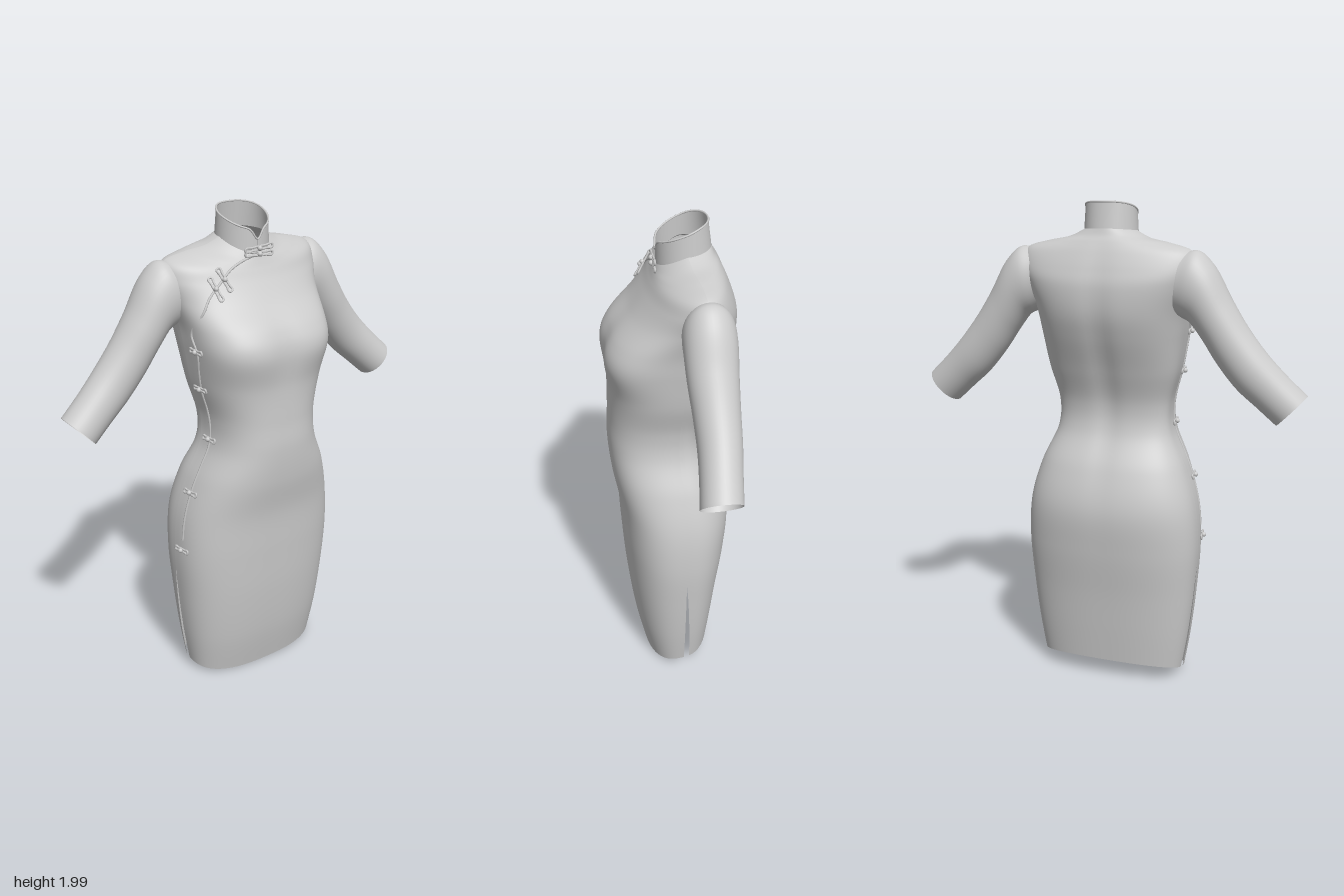
import * as THREE from 'three';

const cloth = new THREE.MeshStandardMaterial({ color: 0xcccccc, side: THREE.DoubleSide });

// Body sections: side y, front y, back y, half width, seam z, front z, back z
const RINGS = [
  [0.05, 0.01, 0.09, 0.312, -0.035, 0.115, -0.17],
  [0.21, 0.19, 0.23, 0.337, -0.035, 0.153, -0.187],
  [0.4, 0.4, 0.4, 0.357, -0.035, 0.18, -0.207],
  [0.6, 0.6, 0.6, 0.369, -0.035, 0.195, -0.235],
  [0.78, 0.78, 0.78, 0.355, -0.035, 0.207, -0.246],
  [0.94, 0.94, 0.94, 0.308, -0.03, 0.235, -0.205],
  [1.08, 1.08, 1.08, 0.245, -0.02, 0.246, -0.137],
  [1.2, 1.2, 1.2, 0.238, -0.02, 0.241, -0.128],
  [1.34, 1.34, 1.34, 0.272, -0.03, 0.241, -0.172],
  [1.48, 1.48, 1.48, 0.292, -0.04, 0.26, -0.225],
  [1.58, 1.57, 1.58, 0.305, -0.06, 0.228, -0.252],
  [1.68, 1.66, 1.68, 0.332, -0.09, 0.146, -0.255],
  [1.76, 1.73, 1.75, 0.355, -0.1, 0.094, -0.238],
  [1.82, 1.775, 1.81, 0.337, -0.1, 0.068, -0.215],
  [1.847, 1.8, 1.85, 0.25, -0.09, 0.056, -0.195],
  [1.863, 1.817, 1.875, 0.165, -0.075, 0.049, -0.18],
  [1.89, 1.835, 1.9, 0.107, -0.065, 0.043, -0.17],
];
const LAST = RINGS.length - 1;
const bell = (d, w) => Math.exp(-((d / w) ** 2));

function ringAt(v) {
  const i = Math.min(LAST - 1, Math.floor(v)), t = v - i;
  const [p, q, r, s] = [i - 1, i, i + 1, i + 2].map(k => RINGS[Math.max(0, Math.min(LAST, k))]);
  return q.map((b, k) => b + 0.5 * t * (r[k] - p[k]
    + t * (2 * p[k] - 5 * b + 4 * r[k] - s[k] + t * (3 * (b - r[k]) + s[k] - p[k]))));
}

// Point on the body; a runs 0 (left seam), PI/2 (front), PI (right seam), 3PI/2 (back)
function bodyPoint(v, a) {
  const [ys, yf, yb, hw, z0, zf, zb] = ringAt(v);
  const c = Math.cos(a), s = Math.sin(a), front = s > 0;
  // Sections are squarest at the bust and round off towards the neck
  const squareness = front
    ? 2.6 - 0.6 * THREE.MathUtils.smoothstep(ys, 1.55, 1.8) + 0.5 * bell(ys - 1.49, 0.1)
    : 2.45 - 0.45 * THREE.MathUtils.smoothstep(ys, 1.7, 1.85);
  const e = 2 / squareness, f = Math.abs(s) ** e;
  const x = hw * Math.sign(c) * Math.abs(c) ** e;
  const y = ys + ((front ? yf : yb) - ys) * f ** 1.2;
  const dip = front ? -0.013 * bell(x, 0.07) * bell(y - 1.5, 0.12)
    : 0.014 * bell(x, 0.05) * bell(y - 1.35, 0.4);
  return new THREE.Vector3(x, y, z0 + ((front ? zf : zb) - z0) * f + dip);
}

function named(name, geometry) {
  const m = new THREE.Mesh(geometry, cloth);
  m.name = name;
  return m;
}

// Smooth surface from a function of u (rightwards) and v (upwards)
function surface(name, fn, nu, nv, closed = false) {
  const pos = [], idx = [];
  for (let j = 0; j <= nv; j++) for (let i = 0; i <= nu; i++) pos.push(...fn(i / nu, j / nv).toArray());
  for (let j = 0; j < nv; j++) for (let i = 0; i < nu; i++) {
    const a = j * (nu + 1) + i, d = a + nu + 1;
    idx.push(a, a + 1, d, a + 1, d + 1, d);
  }
  const g = new THREE.BufferGeometry();
  g.setAttribute('position', new THREE.Float32BufferAttribute(pos, 3));
  g.setIndex(idx);
  g.computeVertexNormals();
  if (closed) {
    const n = g.attributes.normal, p = new THREE.Vector3(), q = new THREE.Vector3();
    for (let j = 0; j <= nv; j++) {
      const a = j * (nu + 1), b = a + nu;
      p.fromBufferAttribute(n, a).add(q.fromBufferAttribute(n, b)).normalize();
      n.setXYZ(a, p.x, p.y, p.z);
      n.setXYZ(b, p.x, p.y, p.z);
    }
  }
  return named(name, g);
}

function tube(name, pts, r, closed, segs) {
  return named(name, new THREE.TubeGeometry(new THREE.CatmullRomCurve3(pts, closed), segs, r, 6, closed));
}

// Body parameters of the front point at x, y
function locateFront(x, y) {
  let best = Infinity, hit;
  for (let v = 0; v <= LAST; v += 0.05) for (let k = 1; k < 120; k++) {
    const a = Math.PI * k / 120, p = bodyPoint(v, a), d = Math.hypot(p.x - x, p.y - y);
    if (d < best) { best = d; hit = { v, a }; }
  }
  return hit;
}

// Body parameters at height y along the right side opening
const SIDE = Math.PI - 0.16;
function locateSide(y) {
  let v = 0;
  while (v < LAST && bodyPoint(v, SIDE).y < y) v += 0.02;
  return { v, a: SIDE };
}

// Knotted fastening: two cord loops and a ball, lying on the body
function knot(name, { v, a }, length, angle) {
  const g = new THREE.Group(), h = 0.03;
  g.name = name;
  for (const s of [-1, 1]) {
    const l = s * length / 2;
    const pts = [[0.004, 0.005], [0.5, 0.006], [0.92, 0.008], [1, 0], [0.92, -0.008], [0.5, -0.006], [0.004, -0.005]]
      .map(([t, y]) => new THREE.Vector3(t * l, y, 0));
    g.add(tube('cordLoop', pts, 0.0045, true, 32));
  }
  const ball = named('knotBall', new THREE.SphereGeometry(0.01, 12, 8));
  ball.position.z = 0.006;
  g.add(ball);
  const across = bodyPoint(v, a - h).sub(bodyPoint(v, a + h)).normalize();
  const up = bodyPoint(v + h, a).sub(bodyPoint(v - h, a));
  const normal = across.clone().cross(up).normalize();
  const x = across.applyAxisAngle(normal, angle);
  g.quaternion.setFromRotationMatrix(new THREE.Matrix4().makeBasis(x, normal.clone().cross(x), normal));
  g.position.copy(bodyPoint(v, a)).addScaledVector(normal, 0.006);
  return g;
}

// Sleeve outline pairs: top x, y, bottom x, y, half depth, centre z
const SLEEVE = [
  [0.31, 1.815, 0.28, 1.58, 0.09, -0.105],
  [0.365, 1.822, 0.305, 1.565, 0.098, -0.105],
  [0.425, 1.77, 0.335, 1.55, 0.099, -0.105],
  [0.5, 1.64, 0.385, 1.49, 0.094, -0.105],
  [0.565, 1.54, 0.45, 1.395, 0.087, -0.108],
  [0.64, 1.445, 0.53, 1.3, 0.082, -0.108],
  [0.72, 1.36, 0.605, 1.235, 0.079, -0.1],
  [0.8, 1.285, 0.685, 1.165, 0.079, -0.09],
];
const pathOf = f => new THREE.CatmullRomCurve3(SLEEVE.map(f));
const sleeveTop = pathOf(s => new THREE.Vector3(s[0], s[1], s[5]));
const sleeveBottom = pathOf(s => new THREE.Vector3(s[2], s[3], s[5]));
const sleeveDepth = pathOf(s => new THREE.Vector3(s[4], s[0], 0));

function sleevePoint(u, v) {
  const t = Math.PI * (2 * u + 1);
  const p = sleeveBottom.getPoint(v).lerp(sleeveTop.getPoint(v), 0.5 + 0.5 * Math.cos(t));
  p.z += Math.sin(t) * sleeveDepth.getPoint(v).x;
  return p;
}

// Standing collar with a notch at the front
function collarPoint(a, t) {
  const p = bodyPoint(LAST, a), s = Math.sin(a);
  const top = 2 - 0.075 * ((1 + s) / 2) ** 1.5 - 0.04 * bell(Math.atan2(Math.cos(a), s), 0.22);
  p.y += (top - p.y) * t;
  p.x *= 1 - 0.05 * t;
  if (s < 0) p.z -= 0.014 * s * t;
  return p;
}

export function createModel() {
  const model = new THREE.Group();
  model.name = 'dress';

  // Front and back panels, with side slits opening towards the hem
  model.add(surface('frontPanel', (u, v) => bodyPoint(v * LAST, Math.PI * (1 - u)), 56, LAST * 8));
  model.add(surface('backPanel', (u, v) => {
    const gap = 0.12 * Math.max(0, (0.52 - ringAt(v * LAST)[0]) / 0.48);
    return bodyPoint(v * LAST, 2 * Math.PI - gap - u * (Math.PI - 2 * gap));
  }, 56, LAST * 8));

  // Sleeves
  for (const side of [1, -1]) {
    const sleeve = surface(side > 0 ? 'leftSleeve' : 'rightSleeve', sleevePoint, 40, 48, true);
    sleeve.scale.x = side;
    model.add(sleeve);
  }

  // Collar and its piping
  const front = Math.PI / 2, turn = 2 * Math.PI;
  model.add(surface('collar', (u, v) => collarPoint(front - u * turn, v), 80, 8, true));
  const rim = Array.from({ length: 60 }, (_, i) => collarPoint(front + i / 60 * turn, 1));
  model.add(tube('collarPiping', rim, 0.004, true, 120));
  model.add(tube('collarFrontSeam', [0, 0.5, 1].map(t => collarPoint(front, t)), 0.003, false, 8));

  // Piping along the diagonal opening and down the right side
  const opening = [[-0.005, 1.828], [-0.07, 1.81], [-0.13, 1.785], [-0.19, 1.745], [-0.24, 1.695], [-0.275, 1.64]]
    .map(([x, y]) => locateFront(x, y));
  for (let y = 1.56; y > 0.6; y -= 0.08) opening.push(locateSide(y));
  model.add(tube('openingPiping', opening.map(h => bodyPoint(h.v, h.a)), 0.005, false, 140));

  // Knots at the collar, chest and right side
  for (const s of [1, -1]) {
    const k = knot('collarKnot', { v: LAST - 0.1, a: front }, 0.13, 0);
    k.position.set(0, 1.841 + s * 0.011, 0.051);
    k.rotation.set(0, 0, s * 0.06);
    model.add(k);
  }
  for (const [x, y] of [[-0.21, 1.725], [-0.168, 1.752]])
    model.add(knot('chestKnot', locateFront(x, y), 0.1, -1.1));
  for (const y of [1.49, 1.33, 1.11, 0.89, 0.635])
    model.add(knot('sideKnot', locateSide(y), 0.075, 0));

  return model;
}
